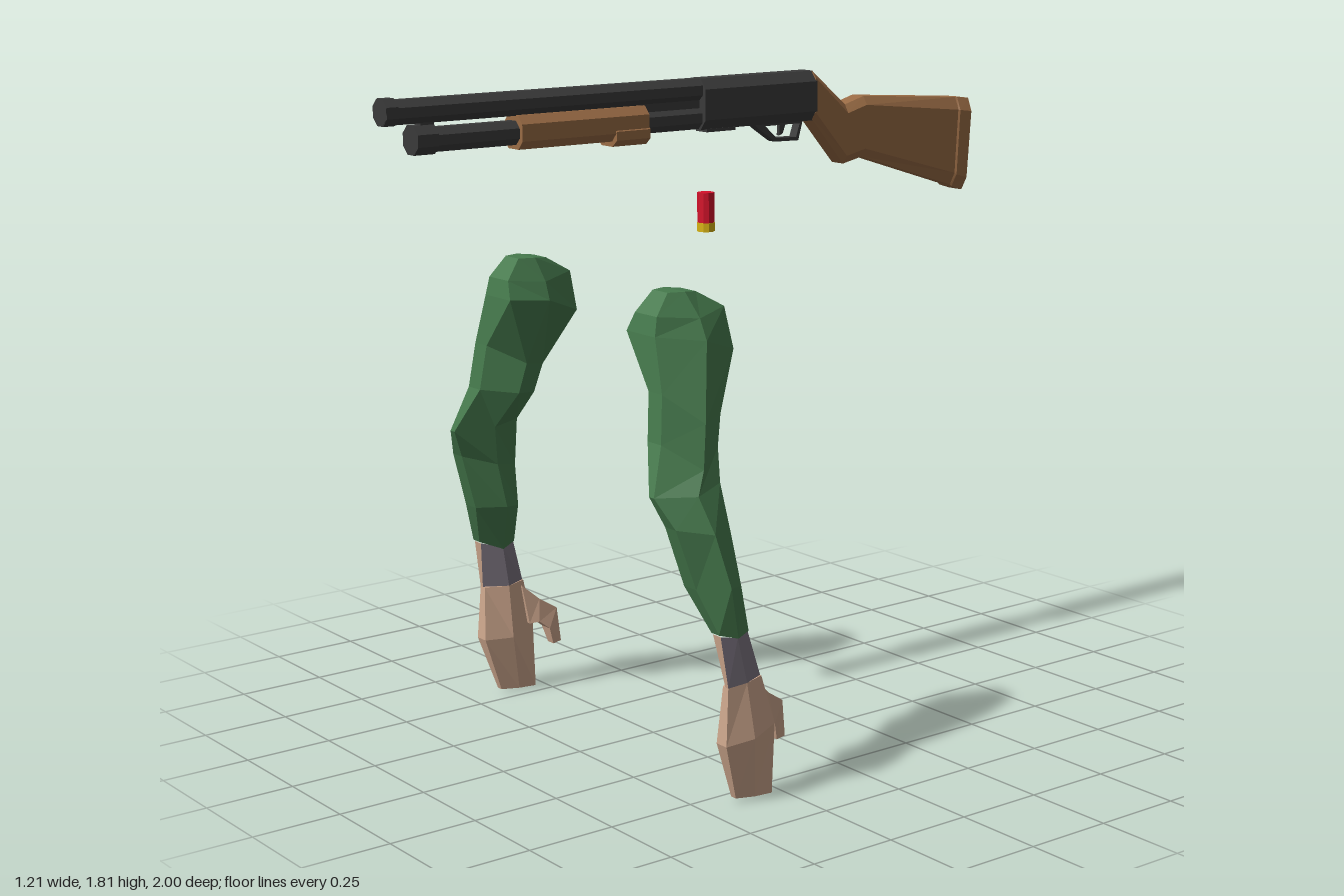
import * as THREE from 'three';

const mat = (name, color) => {
  const m = new THREE.MeshStandardMaterial({ color });
  m.name = name;
  return m;
};

// Faceted skin over a list of equal-length rings of [x, y, z]; facets limits which sides are kept
function loft(rings, { facets = null, caps = true } = {}) {
  const tris = [], n = rings[0].length;
  for (let r = 0; r < rings.length - 1; r++) {
    for (let i = 0; i < n; i++) {
      const j = (i + 1) % n, keep = !facets || facets.includes(i);
      const [a, b, c, d] = [rings[r][i], rings[r][j], rings[r + 1][j], rings[r + 1][i]];
      tris.push([a, b, c, keep], [a, c, d, keep]);
    }
  }
  const first = rings[0], last = rings[rings.length - 1];
  for (let i = 1; i < n - 1; i++) {
    tris.push([first[0], first[i + 1], first[i], caps], [last[0], last[i], last[i + 1], caps]);
  }
  // The signed volume tells whether the faces must be turned outward
  let volume = 0;
  const [va, vb, vc] = [0, 1, 2].map(() => new THREE.Vector3());
  for (const [a, b, c] of tris) {
    volume += va.fromArray(a).dot(vb.fromArray(b).cross(vc.fromArray(c)));
  }
  const pos = [];
  for (const [a, b, c, keep] of tris) {
    if (keep) pos.push(...a, ...(volume > 0 ? b : c), ...(volume > 0 ? c : b));
  }
  const g = new THREE.BufferGeometry();
  g.setAttribute('position', new THREE.Float32BufferAttribute(pos, 3));
  g.computeVertexNormals();
  return g;
}

// Box section with cut corners, from bottom point to top point
function cutSection(half, zTop, yTop, zBot, yBot, cutX = 0.4, cutY = 0.18) {
  const k = 1 - cutX;
  return [[1, cutY], [1, 1 - cutY], [k, 1], [-k, 1], [-1, 1 - cutY], [-1, cutY], [-k, 0], [k, 0]]
    .map(([u, v]) => [u * half, yBot + (yTop - yBot) * v, zBot + (zTop - zBot) * v]);
}

// Straight bar with cut corners
const bar = (half, y0, y1, z0, z1, cx, cy) =>
  loft([cutSection(half, z0, y1, z0, y0, cx, cy), cutSection(half, z1, y1, z1, y0, cx, cy)]);

// Six-sided limb section: inner x,y / outer x,y / front z,y / back z,y, then corner positions
function limbRing([xi, yi, xo, yo, zf, yf, zb, yb, fo = 0.3, fi = -0.3, bk = 0.45], side) {
  const cx = (xi + xo) / 2, hx = (xo - xi) / 2, cz = (zf + zb) / 2;
  return [[xo, yo, cz], [cx + hx * fo, yf, zf], [cx + hx * fi, yf, zf],
    [xi, yi, cz], [cx - hx * bk, yb, zb], [cx + hx * bk, yb, zb]]
    .map(([x, y, z]) => [x * side, y, z]);
}

export function createModel() {
  const model = new THREE.Group();
  const green = mat('sleeveGreen', 0x467a4d), skin = mat('skin', 0xcfa88e);
  const grey = mat('cuffGrey', 0x7c7480), black = mat('gunMetal', 0x3a3a3a);
  const wood = mat('wood', 0x9a6c45), red = mat('shellRed', 0xd4102a), gold = mat('brass', 0xd8b412);

  const add = (parent, name, geometry, material) => {
    const m = new THREE.Mesh(geometry, material);
    m.name = name;
    parent.add(m);
    return m;
  };

  // Arms
  const sleeve = [
    [0.295, 1.325, 0.385, 1.325, 0.47, 1.325, 0.38, 1.32, 0.7, -0.7, 0.7],
    [0.27, 1.26, 0.425, 1.26, 0.515, 1.27, 0.30, 1.275, 0.5, -0.7, 0.5],
    [0.255, 1.21, 0.45, 1.205, 0.525, 1.22, 0.285, 1.165, 0.4, -0.85, 0.55],
    [0.31, 1.03, 0.50, 1.005, 0.535, 1.08, 0.36, 1.01],
    [0.325, 0.945, 0.515, 0.89, 0.55, 0.955, 0.38, 0.93],
    [0.40, 0.84, 0.535, 0.83, 0.595, 0.83, 0.40, 0.845, 0.15, -0.15],
    [0.425, 0.725, 0.575, 0.735, 0.56, 0.75, 0.39, 0.705],
    [0.43, 0.595, 0.60, 0.595, 0.51, 0.59, 0.375, 0.58],
    [0.50, 0.45, 0.59, 0.455, 0.465, 0.47, 0.36, 0.46, 0.7, 0],
  ];
  const wrist = [
    [0.505, 0.455, 0.585, 0.455, 0.46, 0.465, 0.362, 0.46, 0.8, 0.0],
    [0.52, 0.33, 0.588, 0.33, 0.44, 0.325, 0.325, 0.335, 0.85, 0.5],
  ];
  const hand = [
    [0.52, 0.33, 0.588, 0.33, 0.44, 0.325, 0.325, 0.335, 0.85, 0.2, 0.6],
    [0.522, 0.17, 0.605, 0.18, 0.45, 0.17, 0.288, 0.20, 0.6, -0.4, 0.5],
    [0.54, 0.005, 0.568, 0.005, 0.40, 0.012, 0.28, 0.0, 0.7, -0.7, 0.7],
  ];
  // Thumb sections: upper z,y / lower z,y / inner x / outer x
  const thumb = [
    [0.335, 0.32, 0.31, 0.20, 0.525, 0.57],
    [0.285, 0.275, 0.285, 0.205, 0.51, 0.555],
    [0.23, 0.24, 0.255, 0.18, 0.502, 0.545],
    [0.213, 0.135, 0.24, 0.13, 0.507, 0.535],
  ];
  for (const [name, side] of [['leftArm', 1], ['rightArm', -1]]) {
    const arm = new THREE.Group();
    arm.name = name;
    model.add(arm);
    const rings = (list) => list.map((r) => limbRing(r, side));
    add(arm, 'sleeve', loft(rings(sleeve)), green);
    add(arm, 'wristCuff', loft(rings(wrist), { facets: [0, 2, 3, 4, 5], caps: false }), grey);
    add(arm, 'wristFront', loft(rings(wrist), { facets: [1], caps: false }), skin);
    add(arm, 'hand', loft(rings(hand)), skin);
    add(arm, 'thumb', loft(thumb.map(([za, ya, zb, yb, xi, xo]) =>
      [[xi, ya, za], [xo, ya, za], [xo, yb, zb], [xi, yb, zb]].map(([x, y, z]) => [x * side, y, z]))), skin);
  }

  // Shotgun, built around its own centre plane
  const gun = new THREE.Group();
  gun.name = 'shotgun';
  gun.position.x = -0.125;
  model.add(gun);
  add(gun, 'barrel', bar(0.033, 1.74, 1.803, -0.02, 1, 0.58, 0.29), black);
  add(gun, 'muzzleRing', bar(0.034, 1.738, 1.808, 0.965, 0.999, 0.58, 0.29), black);
  add(gun, 'magazineTube', bar(0.031, 1.664, 1.727, -0.02, 0.9, 0.58, 0.29), black);
  add(gun, 'magazineCap', bar(0.037, 1.659, 1.735, 0.85, 0.912, 0.58, 0.29), black);
  add(gun, 'barrelClamp', new THREE.BoxGeometry(0.03, 0.03, 0.04), black).position.set(0, 1.735, 0.87);
  add(gun, 'actionBar', new THREE.BoxGeometry(0.036, 0.03, 0.22), black).position.set(0, 1.735, 0.1);
  add(gun, 'receiver', bar(0.045, 1.662, 1.803, -0.4, 0, 0.5, 0.2), black);
  add(gun, 'loadingGate', new THREE.BoxGeometry(0.05, 0.009, 0.1), black).position.set(0, 1.659, -0.07);

  // Wooden slide handle
  add(gun, 'slideHandle', bar(0.043, 1.652, 1.742, 0.19, 0.6, 0.45, 0.25), wood);
  add(gun, 'slideGrip', bar(0.046, 1.638, 1.698, 0.188, 0.3, 0.45, 0.3), wood);

  // Stock
  const stock = [
    [0.044, -0.395, 1.803, -0.395, 1.668],
    [0.041, -0.52, 1.70, -0.515, 1.53],
    [0.041, -0.59, 1.72, -0.585, 1.545],
    [0.043, -0.95, 1.695, -0.935, 1.435],
    [0.047, -0.955, 1.695, -0.94, 1.43],
    [0.047, -1.0, 1.69, -0.98, 1.417],
  ];
  add(gun, 'stock', loft(stock.map((s) => cutSection(...s, 0.4, 0.14))), wood);

  // Trigger guard and trigger, drawn in the side plane
  const shapeFrom = (Type, pts) => new Type(pts.map(([z, y]) => new THREE.Vector2(z, y)));
  const guardShape = shapeFrom(THREE.Shape, [[-0.19, 1.668], [-0.21, 1.65], [-0.27, 1.61],
    [-0.355, 1.608], [-0.372, 1.668]]);
  guardShape.holes.push(shapeFrom(THREE.Path, [[-0.235, 1.656], [-0.36, 1.656], [-0.347, 1.618], [-0.275, 1.62]]));
  const sidePlate = (shape, width) => {
    const g = new THREE.ExtrudeGeometry(shape, { depth: width, bevelEnabled: false });
    return g.translate(0, 0, -width / 2).rotateY(-Math.PI / 2);
  };
  add(gun, 'triggerGuard', sidePlate(guardShape, 0.03), black);
  add(gun, 'trigger', sidePlate(shapeFrom(THREE.Shape, [[-0.295, 1.668], [-0.32, 1.668], [-0.305, 1.63],
    [-0.293, 1.625]]), 0.012), black);

  // Cartridge
  const shell = new THREE.Group();
  shell.name = 'cartridge';
  shell.position.set(-0.125, 0, -0.035);
  model.add(shell);
  const drum = (r, y0, y1) => {
    const g = new THREE.CylinderGeometry(r, r, y1 - y0, 10).toNonIndexed();
    g.computeVertexNormals();
    return g.translate(0, (y0 + y1) / 2, 0);
  };
  add(shell, 'cartridgeCase', drum(0.024, 1.4, 1.485), red);
  add(shell, 'cartridgeBase', drum(0.025, 1.376, 1.401), gold);

  return model;
}
